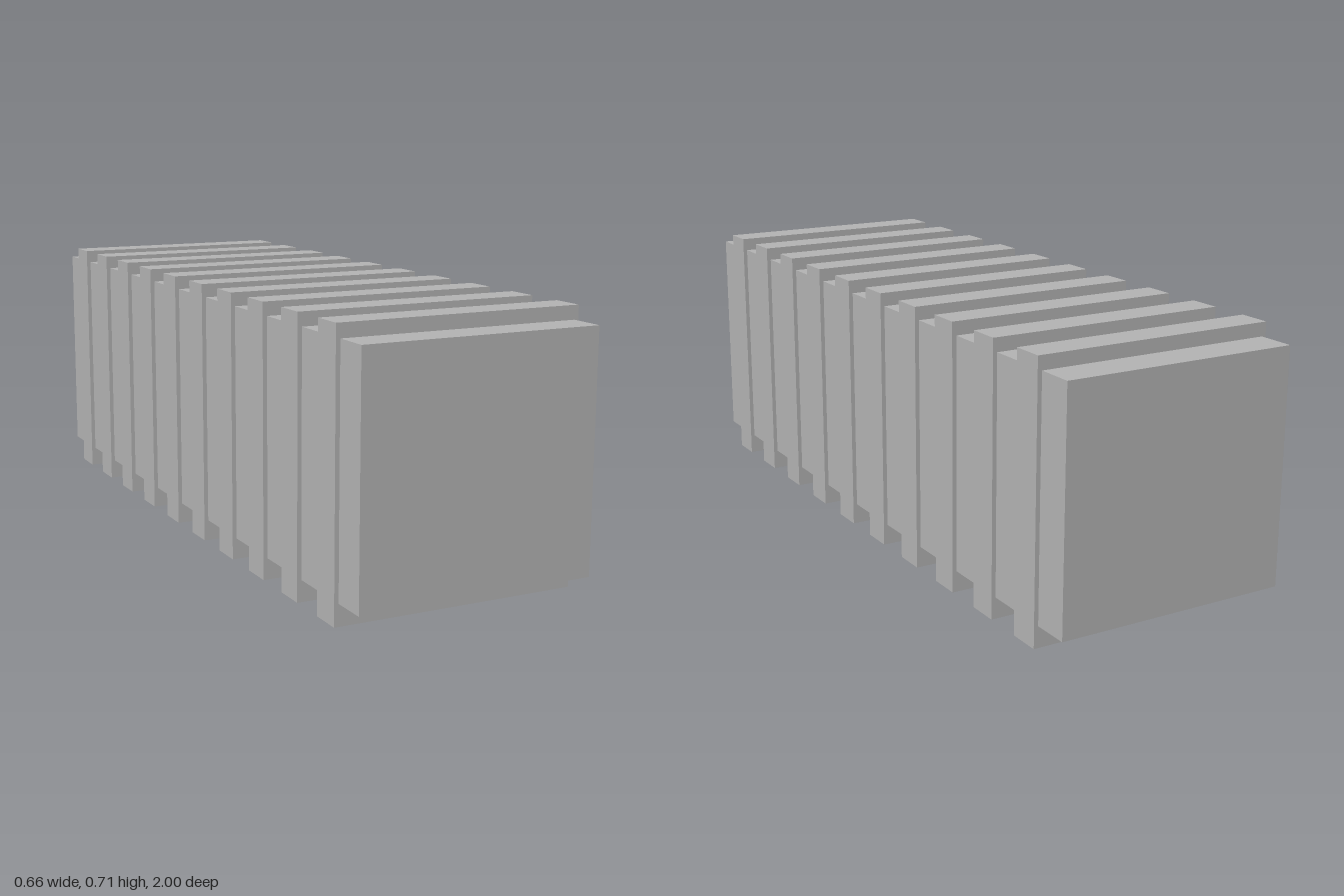
import * as THREE from 'three';

export function createModel() {
  const group = new THREE.Group();
  group.name = 'ribbedBlock';

  const grey = new THREE.MeshStandardMaterial({ color: 0xb2b2b2 });
  grey.name = 'grey';

  const addBox = (name, width, bottom, top, depth, z) => {
    const mesh = new THREE.Mesh(new THREE.BoxGeometry(width, top - bottom, depth), grey);
    mesh.name = name;
    mesh.position.set(0, (bottom + top) / 2, z);
    group.add(mesh);
  };

  // Long core running front to back
  addBox('core', 0.637, 0.056, 0.674, 2, 0);

  // Ten evenly spaced ribs wrapped around the core
  const ribCount = 10, firstZ = 0.86, pitch = 0.1907;
  for (let i = 0; i < ribCount; i++) {
    addBox(`rib${i + 1}`, 0.66, 0, 0.71, 0.087, firstZ - i * pitch);
  }

  return group;
}
